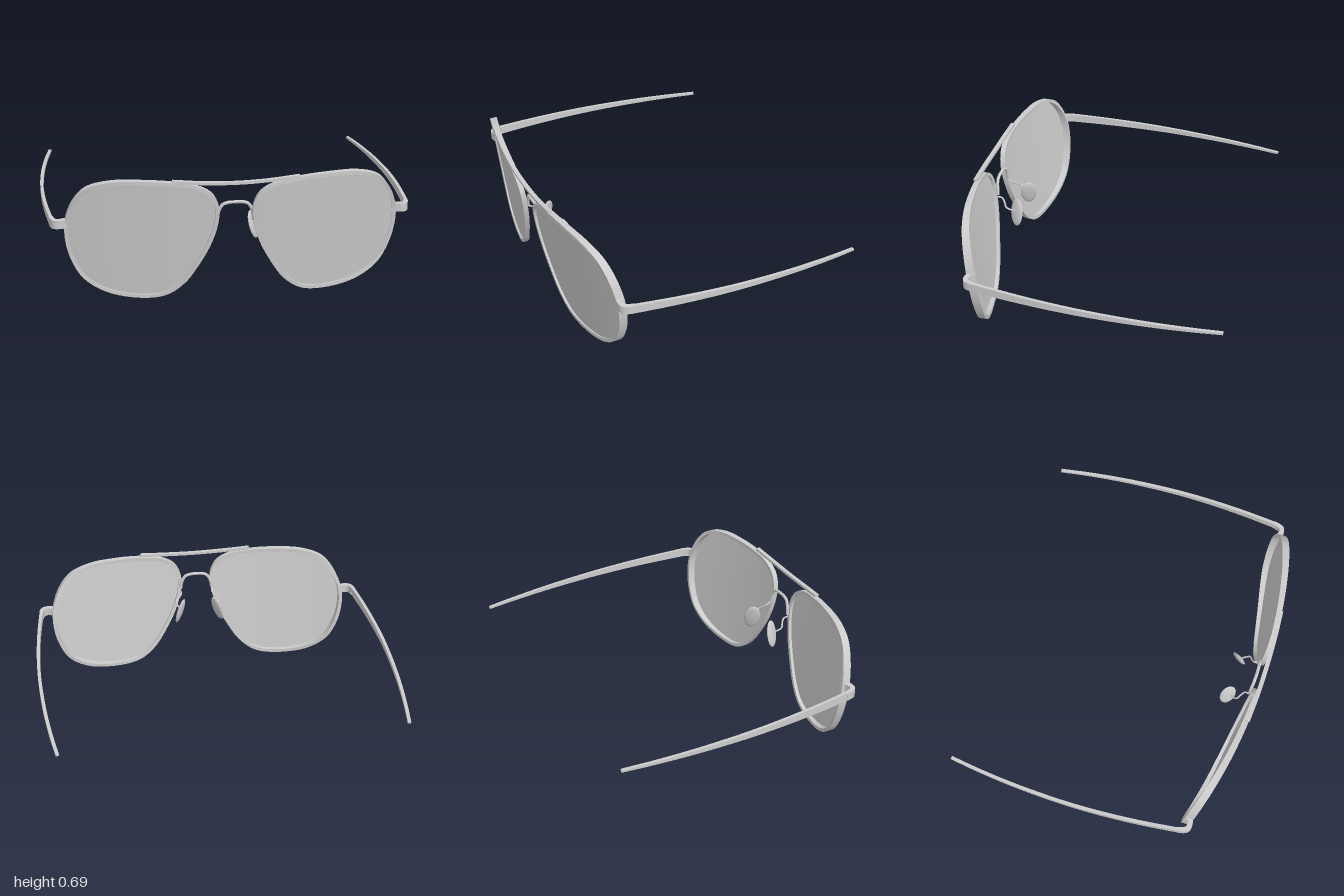
import * as THREE from 'three';
import { toCreasedNormals } from 'three/addons/utils/BufferGeometryUtils.js';

const V = (x, y, z) => new THREE.Vector3(x, y, z);
const spline = (pts, closed = false) =>
  new THREE.CatmullRomCurve3(pts.map((p) => V(...p)), closed, 'centripetal');

// Skin a list of equal cross-section loops, joined end to start or capped
function loft(loops, closed) {
  const n = loops[0].length, m = loops.length, index = [];
  for (let i = 0; i < (closed ? m : m - 1); i++) {
    for (let j = 0; j < n; j++) {
      const k = (j + 1) % n, i2 = (i + 1) % m;
      const a = i * n + j, b = i * n + k, c = i2 * n + k, d = i2 * n + j;
      index.push(a, b, c, a, c, d);
    }
  }
  if (!closed) {
    const e = (m - 1) * n;
    for (let j = 1; j < n - 1; j++) index.push(0, j + 1, j, e, e + j, e + j + 1);
  }
  const geo = new THREE.BufferGeometry().setFromPoints(loops.flat());
  geo.setIndex(index);
  return geo;
}

// Upright rectangular bar along a curve; size(t) gives [half thickness, half height]
function bar(curve, steps, size) {
  const loops = [];
  for (let i = 0; i <= steps; i++) {
    const t = i / steps, p = curve.getPointAt(t), [w, h] = size(t);
    const side = V(0, 1, 0).cross(curve.getTangentAt(t)).normalize();
    loops.push([[1, 1], [-1, 1], [-1, -1], [1, -1]].map(([a, b]) =>
      p.clone().addScaledVector(side, a * w).add(V(0, b * h, 0))));
  }
  return loft(loops, false);
}

// Front surface of the wrapped, tilted lens plane and the rim depth behind it
const surf = (x, y) => 0.72 - 0.155 * x * x + 0.12 * (y - 0.345);
const rimDepth = (x) => 0.028 + 0.024 * x * x;
const RIM = 0.02;

const OUTLINE = [
  [0.33, 0.682], [0.49, 0.69], [0.65, 0.682], [0.77, 0.64], [0.843, 0.55], [0.88, 0.44],
  [0.882, 0.345], [0.857, 0.23], [0.795, 0.115], [0.675, 0.035], [0.49, 0.002],
  [0.36, 0.02], [0.265, 0.09], [0.19, 0.2], [0.125, 0.33], [0.092, 0.45],
  [0.09, 0.54], [0.127, 0.615], [0.21, 0.662],
];

export function createModel() {
  const model = new THREE.Group();
  const metal = new THREE.MeshStandardMaterial({ color: 0xcccccc });
  const sheet = new THREE.MeshStandardMaterial({ color: 0xcccccc, side: THREE.DoubleSide });

  const add = (name, geo, material = metal) => {
    const mesh = new THREE.Mesh(toCreasedNormals(geo, 0.7), material);
    mesh.name = name;
    model.add(mesh);
  };
  // Add a part on the left (+x) and its mirror image on the right
  const addPair = (name, geo, material) => {
    const twin = geo.clone().scale(-1, 1, 1);
    twin.setIndex(Array.from(geo.index.array).reverse());
    add('left' + name, geo, material);
    add('right' + name, twin, material);
  };

  // Rims: rectangular section swept round the outline
  const outline = spline(OUTLINE.map(([x, y]) => [x, y, 0]), true);
  const N = 128, rimLoops = [], inner = [];
  for (let i = 0; i < N; i++) {
    const p = outline.getPointAt(i / N), t = outline.getTangentAt(i / N);
    const q = V(p.x + t.y * RIM, p.y - t.x * RIM, 0);
    const zf = surf(p.x, p.y), zb = zf - rimDepth(p.x);
    rimLoops.push([V(p.x, p.y, zb), V(p.x, p.y, zf), V(q.x, q.y, zf), V(q.x, q.y, zb)]);
    inner.push(q);
  }
  addPair('Rim', loft(rimLoops, true));

  // Lenses: concentric rings draped on the curved surface
  const rings = 12, cx = 0.47, cy = 0.36, pts = [], idx = [];
  for (let r = 0; r <= rings; r++) {
    for (const q of inner) {
      const f = r / rings, x = cx + (q.x - cx) * f, y = cy + (q.y - cy) * f;
      pts.push(V(x, y, surf(x, y) - 0.012));
    }
  }
  for (let r = 0; r < rings; r++) {
    for (let j = 0; j < N; j++) {
      const a = r * N + j, b = r * N + (j + 1) % N;
      if (r > 0) idx.push(a, b, b + N);
      idx.push(a, b + N, a + N);
    }
  }
  const lens = new THREE.BufferGeometry().setFromPoints(pts);
  // outline runs clockwise, so reverse to face forward
  lens.setIndex(idx.reverse());
  addPair('Lens', lens, sheet);

  // Brow bar across the top of both rims
  const brow = spline([[-0.33, 0.688, 0.737], [-0.17, 0.676, 0.747], [0, 0.671, 0.75],
    [0.17, 0.676, 0.747], [0.33, 0.688, 0.737]]);
  add('browBar', bar(brow, 32, () => [0.012, 0.007]));

  // Arched bridge between the lenses
  const bridge = spline([[-0.095, 0.46, 0.7], [-0.086, 0.505, 0.702], [-0.066, 0.538, 0.706],
    [-0.035, 0.549, 0.708], [0, 0.55, 0.709], [0.035, 0.549, 0.708], [0.066, 0.538, 0.706],
    [0.086, 0.505, 0.702], [0.095, 0.46, 0.7]]);
  add('bridge', new THREE.TubeGeometry(bridge, 48, 0.009, 10));

  // Nose pads: flattened ovals leaning outward, held by bent wires
  const up = V(-0.045, 0.16, 0).normalize();
  const wide = V(0.045, 0.0127, -0.08).normalize();
  const thick = up.clone().cross(wide);
  const pad = new THREE.SphereGeometry(1, 24, 16).scale(0.013, 0.08, 0.046);
  pad.applyMatrix4(new THREE.Matrix4().makeBasis(thick, up, wide).setPosition(0.113, 0.37, 0.585));
  addPair('NosePad', pad);
  const wire = spline([[0.1, 0.45, 0.7], [0.094, 0.44, 0.675], [0.112, 0.42, 0.655],
    [0.13, 0.405, 0.642], [0.126, 0.39, 0.62], [0.113, 0.38, 0.595]]);
  addPair('NosePadArm', new THREE.TubeGeometry(wire, 28, 0.005, 8));

  // End pieces turning back from the rims to the temples
  const end = spline([[0.868, 0.434, 0.592], [0.905, 0.433, 0.602], [0.93, 0.432, 0.597],
    [0.943, 0.432, 0.575], [0.95, 0.432, 0.545]]);
  addPair('EndPiece', bar(end, 16, (t) => [0.016 - 0.005 * t, 0.023]));

  // Temples: bowed in plan, tapering toward the tips
  const plan = [[0.949, 0.56], [0.972, 0.35], [0.986, 0.15], [0.991, -0.03],
    [0.988, -0.2], [0.977, -0.4], [0.957, -0.6], [0.934, -0.765]];
  const temple = spline(plan.map(([x, z]) => [x, 0.404 + 0.049 * z, z]));
  addPair('Temple', bar(temple, 40, (t) => [0.009, 0.024 - 0.018 * t]));

  return model;
}
